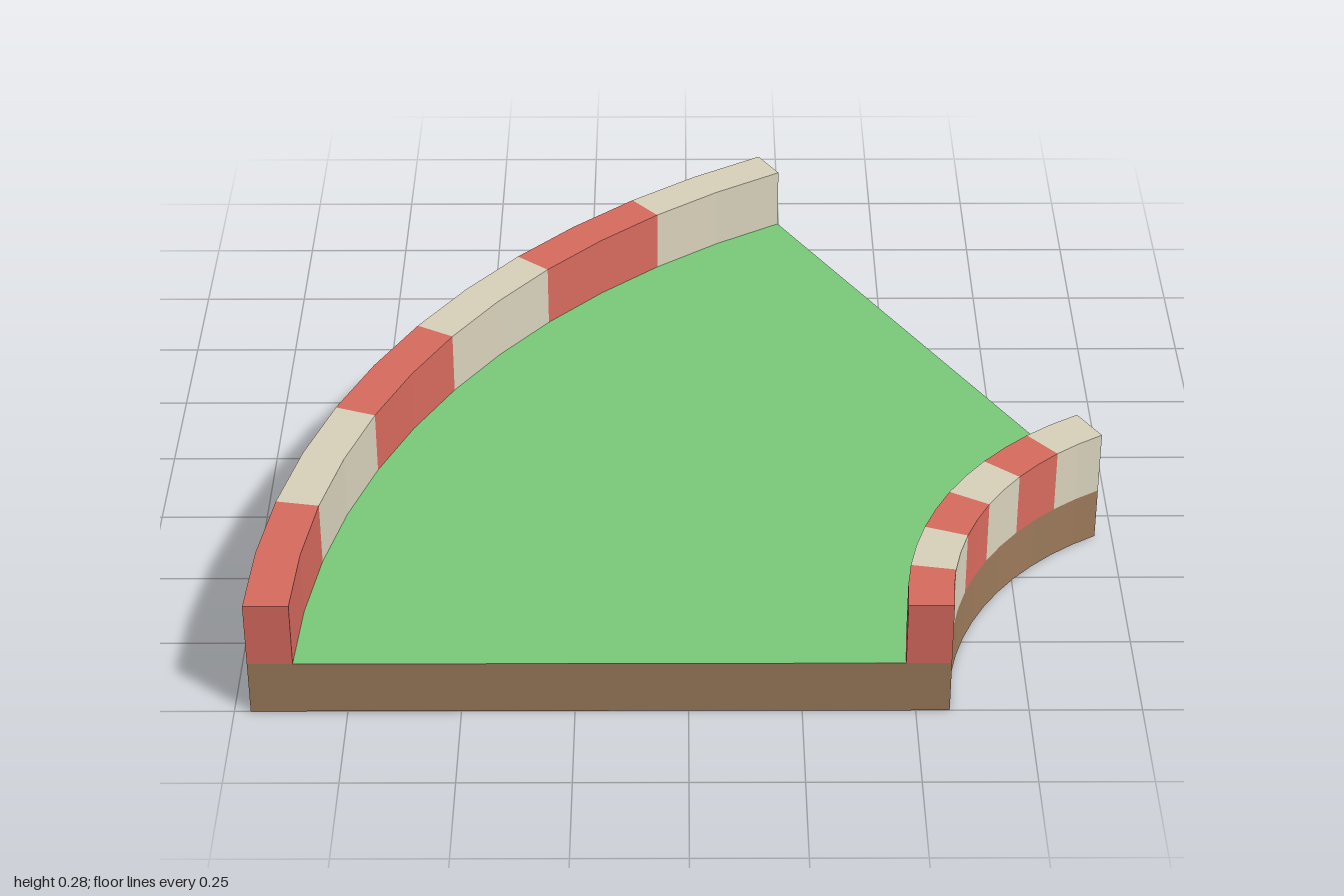
import * as THREE from 'three';

const CX = 1.345, CZ = 1;            // centre of the bend
const R_IN = 0.77, R_OUT = 2.309;    // inner and outer radius
const WALL = 0.1, BASE_H = 0.13, TOP = 0.285;
const SWEEP = Math.PI / 3, SEGMENTS = 6, STEPS = 2; // stripes, facets per stripe

// Flat ring sector between two radii and two angles
function sector(r0, r1, a0, a1, steps) {
  const at = (r, a) => new THREE.Vector2(CX - r * Math.cos(a), -CZ + r * Math.sin(a));
  const pts = [];
  for (let i = 0; i <= steps; i++) pts.push(at(r1, a0 + (a1 - a0) * i / steps));
  for (let i = steps; i >= 0; i--) pts.push(at(r0, a0 + (a1 - a0) * i / steps));
  return new THREE.Shape(pts);
}

function slab(shape, y0, y1) {
  const g = new THREE.ExtrudeGeometry(shape, { depth: y1 - y0, bevelEnabled: false });
  return g.rotateX(-Math.PI / 2).translate(0, y0, 0);
}

export function createModel() {
  const material = (name, color) => {
    const m = new THREE.MeshStandardMaterial({ color });
    m.name = name;
    return m;
  };
  const earth = material('earth brown', 0x9c7a5a);
  const grass = material('grass green', 0x7acc7a);
  const red = material('kerb red', 0xd96b5f);
  const cream = material('kerb cream', 0xdad3bd);

  const model = new THREE.Group();
  model.name = 'curvedTrackPiece';
  const add = (parent, name, geometry, mat) => {
    const mesh = new THREE.Mesh(geometry, mat);
    mesh.name = name;
    parent.add(mesh);
  };

  // Earth base
  const n = SEGMENTS * STEPS;
  add(model, 'base', slab(sector(R_IN, R_OUT, 0, SWEEP, n), 0, BASE_H), earth);

  // Grass surface between the walls
  const lawn = new THREE.ShapeGeometry(sector(R_IN + WALL, R_OUT - WALL, 0, SWEEP, n));
  add(model, 'grassSurface', lawn.rotateX(-Math.PI / 2).translate(0, BASE_H + 0.001, 0), grass);

  // Striped walls along both curves
  for (const [name, r0] of [['innerWall', R_IN], ['outerWall', R_OUT - WALL]]) {
    const wall = new THREE.Group();
    wall.name = name;
    for (let i = 0; i < SEGMENTS; i++) {
      const a0 = SWEEP * i / SEGMENTS, a1 = SWEEP * (i + 1) / SEGMENTS;
      add(wall, `${name}Stripe${i + 1}`, slab(sector(r0, r0 + WALL, a0, a1, STEPS), BASE_H, TOP), i % 2 ? cream : red);
    }
    model.add(wall);
  }
  return model;
}
